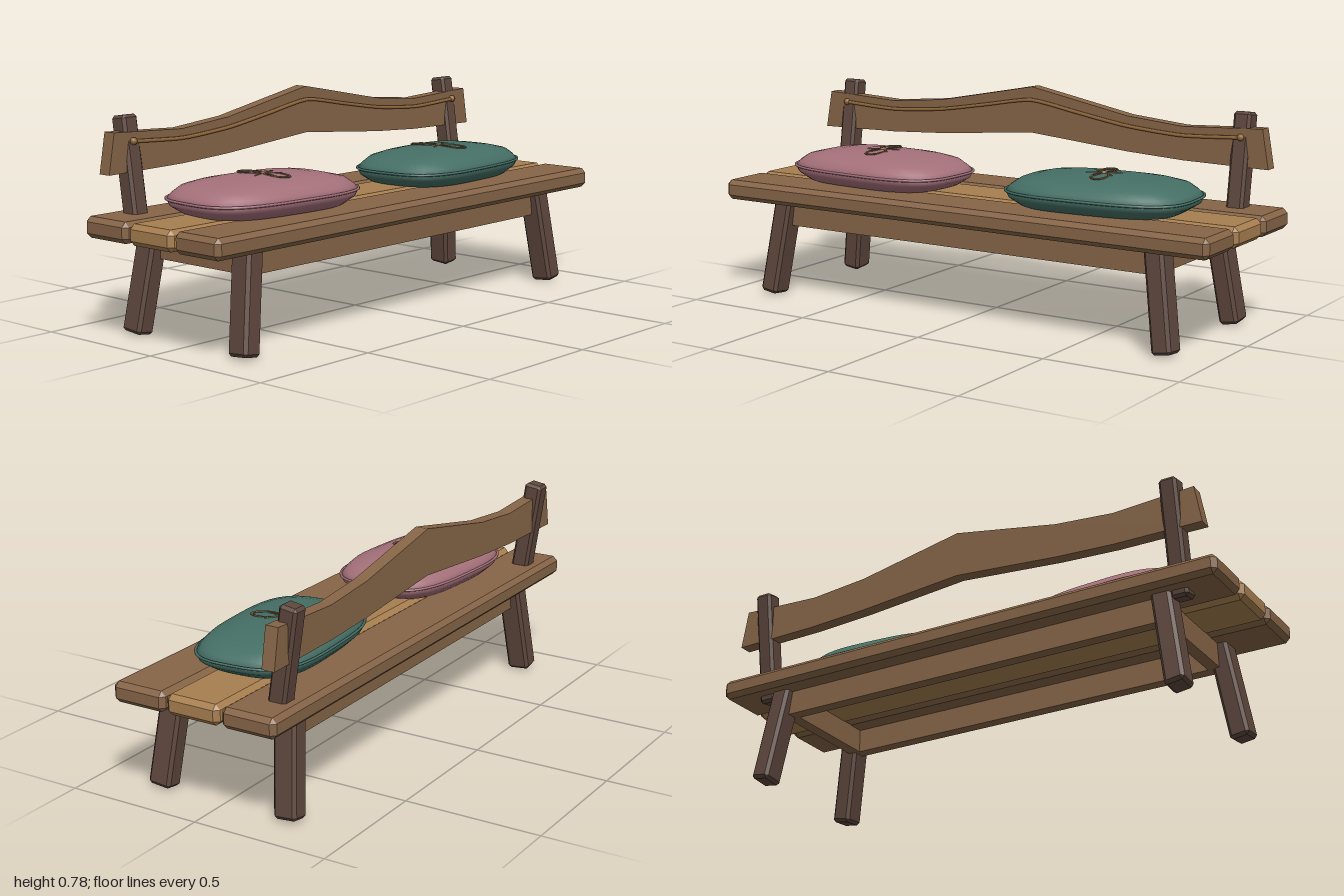
import * as THREE from 'three';
import { mergeVertices } from 'three/addons/utils/BufferGeometryUtils.js';
import { ConvexGeometry } from 'three/addons/geometries/ConvexGeometry.js';

const mat = (name, color, flatShading = false) => {
  const m = new THREE.MeshStandardMaterial({ color, flatShading });
  m.name = name;
  return m;
};

// Box with flat chamfers on every edge
function chamferBox(w, h, d, b) {
  const pts = [];
  for (const x of [-1, 1]) for (const y of [-1, 1]) for (const z of [-1, 1]) {
    for (let k = 0; k < 3; k++) {
      pts.push(new THREE.Vector3(
        x * (w / 2 - (k === 0 ? 0 : b)),
        y * (h / 2 - (k === 1 ? 0 : b)),
        z * (d / 2 - (k === 2 ? 0 : b))));
    }
  }
  return new ConvexGeometry(pts);
}

// Half sizes and roundness of a cushion outline
const CUSHION = { a: 0.342, b: 0.215, n: 3.2 };

// Cushion: turned profile pushed out to a rounded rectangle
function cushionGeometry() {
  const profile = [[0, 0], [0.5, 0], [0.84, 0.002], [0.97, 0.03], [1, 0.051],
    [0.95, 0.07], [0.86, 0.091], [0.7, 0.104], [0.52, 0.112], [0.26, 0.118], [0, 0.12]]
    .map(([r, y]) => new THREE.Vector2(r, y));
  const geo = new THREE.LatheGeometry(profile, 48);
  const p = geo.attributes.position;
  for (let i = 0; i < p.count; i++) {
    const x = p.getX(i), z = p.getZ(i), r = Math.hypot(x, z);
    if (r < 1e-6) { p.setXYZ(i, 0, p.getY(i), 0); continue; }
    const k = outline(x / r, z / r);
    p.setXYZ(i, x * k * CUSHION.a, p.getY(i), z * k * CUSHION.b);
  }
  geo.deleteAttribute('uv');
  geo.deleteAttribute('normal');
  const merged = mergeVertices(geo, 1e-5);
  merged.computeVertexNormals();
  return merged;
}

function outline(c, s) {
  const { n } = CUSHION;
  return Math.pow(Math.abs(c) ** n + Math.abs(s) ** n, -1 / n);
}

export function createModel() {
  const model = new THREE.Group();
  model.name = 'bench';

  const wood = mat('brown wood', 0x866547, true);
  const lightWood = mat('light wood', 0xa87f50, true);
  const darkWood = mat('dark wood', 0x5e473d, true);
  const trimMat = mat('tan trim', 0x94693c);
  const pink = mat('pink cloth', 0xa4707a);
  const green = mat('green cloth', 0x456f65);
  const cord = mat('olive cord', 0x70583a);
  const buttonMat = mat('copper button', 0xb07a48);

  const add = (parent, name, geo, material, x = 0, y = 0, z = 0) => {
    const m = new THREE.Mesh(geo, material);
    m.name = name;
    m.position.set(x, y, z);
    parent.add(m);
    return m;
  };

  // Seat planks
  const plank = chamferBox(2, 0.073, 0.207, 0.017);
  add(model, 'frontPlank', plank, wood, 0, 0.3915, 0.2165);
  add(model, 'middlePlank', plank, lightWood, 0, 0.3915, 0.002);
  add(model, 'backPlank', plank, wood, 0, 0.3915, -0.2135);

  // Apron frame, splayed legs and leaning back posts
  const longApron = new THREE.BoxGeometry(1.5, 0.09, 0.045);
  const sideApron = new THREE.BoxGeometry(0.045, 0.09, 0.4);
  const leg = chamferBox(0.073, 0.39, 0.088, 0.011);
  const post = chamferBox(0.065, 0.425, 0.068, 0.01);
  for (const s of [-1, 1]) {
    add(model, s > 0 ? 'frontApron' : 'backApron', longApron, wood, 0, 0.312, s * 0.215);
    add(model, s > 0 ? 'leftApron' : 'rightApron', sideApron, wood, s * 0.755, 0.312, 0);
    for (const t of [-1, 1]) {
      const l = add(model, t > 0 ? 'frontLeg' : 'backLeg', leg, darkWood, s * 0.797, 0.203, t * 0.238);
      l.rotation.set(-t * 0.09, 0, s * 0.15);
    }
    add(model, 'backPost', post, darkWood, s * 0.84, 0.544, -0.255).rotation.x = -0.148;
  }

  // Mirrors a half outline running from the centre to the right end
  const mirrored = (half) => [
    ...half.slice(1).reverse().map(([x, y]) => [-x, y]), ...half];

  // Curved backrest board
  const top = mirrored([[0, 0.787], [0.4, 0.71], [0.62, 0.69], [0.925, 0.705]]);
  const bottom = mirrored([[0, 0.617], [0.4, 0.582], [0.62, 0.57], [0.95, 0.565]]).reverse();
  const board = new THREE.Shape([...top, ...bottom].map(([x, y]) => new THREE.Vector2(x, y)));
  add(model, 'backrest', new THREE.ExtrudeGeometry(board, { depth: 0.048, bevelEnabled: false }),
    wood, 0, 0, -0.288);

  // Trim strip following the top edge, with a peg at each end
  const trimPath = new THREE.CatmullRomCurve3(
    mirrored([[0, 0.739], [0.2, 0.707], [0.4, 0.675], [0.62, 0.659], [0.85, 0.67]])
      .map(([x, y]) => new THREE.Vector3(x, y, -0.235)), false, 'catmullrom', 0.3);
  add(model, 'backrestTrim', new THREE.TubeGeometry(trimPath, 48, 0.007, 6), trimMat);
  for (const s of [-1, 1]) {
    add(model, 'trimPeg', new THREE.SphereGeometry(0.013, 8, 6), trimMat, s * 0.845, 0.67, -0.235);
  }

  // Cushions with piping, corded loops, stitches and a button
  const cushion = cushionGeometry();
  const rim = [];
  for (let i = 0; i < 48; i++) {
    const t = i / 48 * Math.PI * 2, c = Math.cos(t), s = Math.sin(t), k = outline(c, s);
    rim.push(new THREE.Vector3(c * k * CUSHION.a, 0.053, s * k * CUSHION.b));
  }
  const piping = new THREE.TubeGeometry(new THREE.CatmullRomCurve3(rim, true), 96, 0.005, 6, true);
  const loop = new THREE.TorusGeometry(0.028, 0.0035, 5, 24);
  loop.rotateX(Math.PI / 2);
  loop.scale(1, 1, 1.85);
  const stitch = new THREE.CapsuleGeometry(0.0035, 0.05, 2, 6);
  stitch.rotateZ(Math.PI / 2);
  stitch.translate(0.035, 0, 0);

  for (const s of [-1, 1]) {
    const g = new THREE.Group();
    g.name = s > 0 ? 'leftCushion' : 'rightCushion';
    g.position.set(s > 0 ? 0.453 : -0.487, 0.428, 0.018);
    g.rotation.y = s * 0.07;
    const cloth = s > 0 ? green : pink;
    add(g, 'cushionBody', cushion, cloth);
    add(g, 'cushionPiping', piping, cloth);
    for (const t of [-1, 1]) {
      const l = add(g, 'cordLoop', loop, cord, t * 0.01, 0.118, t * 0.057);
      l.rotation.set(t * 0.03, 0.12, 0);
    }
    for (let i = 0; i < 6; i++) {
      add(g, 'stitch', stitch, cord, 0, 0.119, 0).rotation.y = 0.35 + i * Math.PI / 3;
    }
    const b = add(g, 'button', new THREE.SphereGeometry(0.013, 12, 8), buttonMat, 0, 0.12, 0);
    b.scale.y = 0.5;
    model.add(g);
  }
  return model;
}
